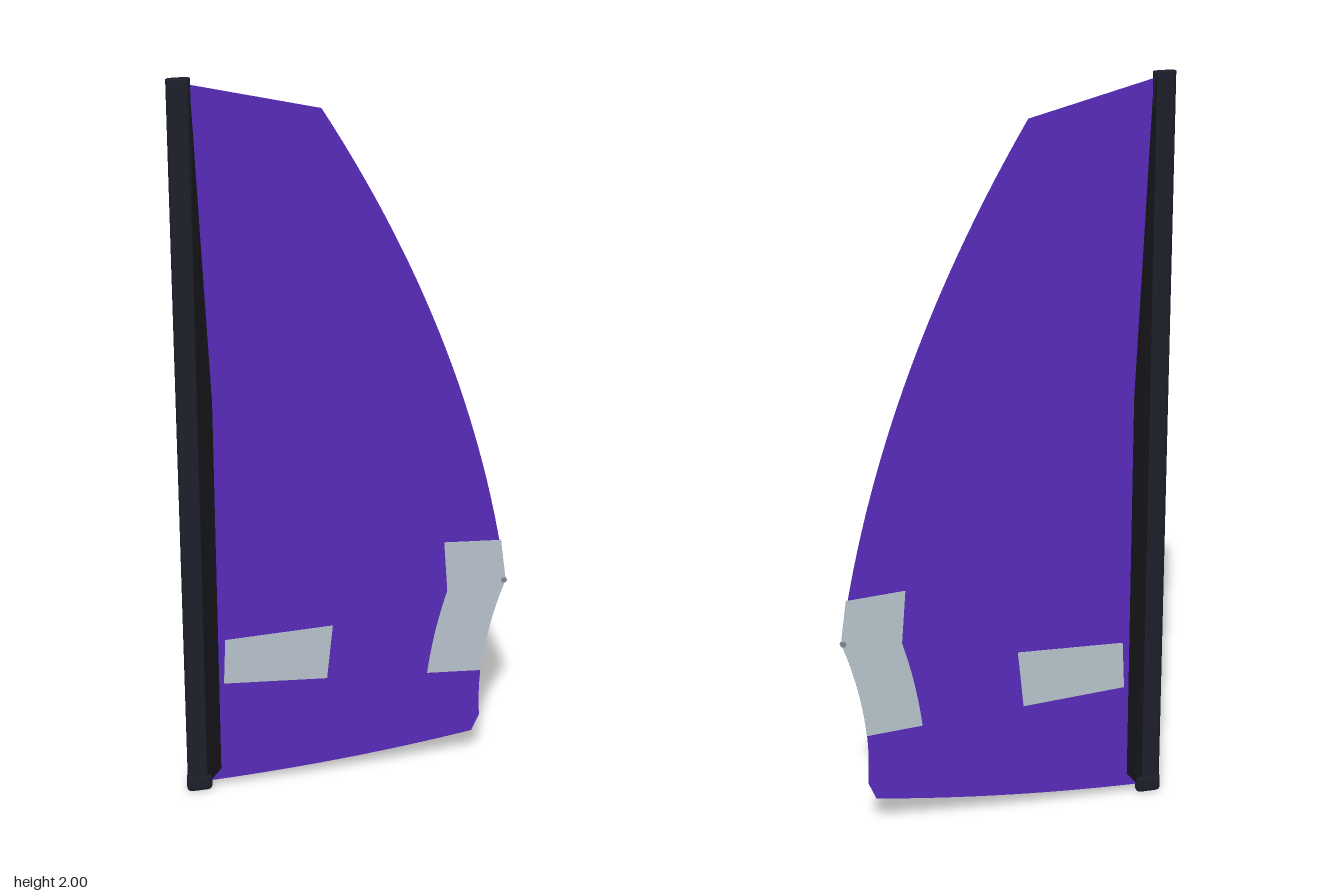
import * as THREE from 'three';
import { RoundedBoxGeometry } from 'three/addons/geometries/RoundedBoxGeometry.js';

const paint = (name, color) => {
  const m = new THREE.MeshStandardMaterial({ color });
  m.name = name;
  return m;
};

// Thin plate in the sail plane, centred on z = 0
function plate(shape, thickness) {
  const g = new THREE.ExtrudeGeometry(shape, { depth: thickness, bevelEnabled: false, curveSegments: 28 });
  return g.translate(0, 0, -thickness / 2);
}

// Sleeve: rows of [y, trailing edge x], each a closed wedge section narrowing to the cloth
function sleeveGeometry(rows) {
  const pos = [], idx = [];
  for (const [y, tail] of rows) {
    const mid = Math.min(-0.371, tail - 0.003);
    const section = [[-0.405, 0.012], [-0.386, 0.011], [mid, 0.0055], [tail, 0.002],
      [tail, -0.002], [mid, -0.0055], [-0.386, -0.011], [-0.405, -0.012]];
    for (const [x, z] of section) pos.push(x, y, z);
  }
  const n = 8;
  for (let r = 0; r < rows.length - 1; r++) {
    for (let i = 0; i < n; i++) {
      const a = r * n + i, b = r * n + (i + 1) % n;
      idx.push(a, b, b + n, a, b + n, a + n);
    }
  }
  const top = (rows.length - 1) * n;
  for (let i = 1; i < n - 1; i++) idx.push(0, i + 1, i, top, top + i, top + i + 1);
  const g = new THREE.BufferGeometry();
  g.setAttribute('position', new THREE.Float32BufferAttribute(pos, 3));
  g.setIndex(idx);
  const flat = g.toNonIndexed();
  flat.computeVertexNormals();
  return flat;
}

export function createModel() {
  const model = new THREE.Group();
  model.name = 'sail rig';
  const purple = paint('purple cloth', 0x562bba);
  const grey = paint('pale window film', 0xb7c2cb);
  const black = paint('mast black', 0x1c1f2a);
  const dark = paint('sleeve black', 0x131318);
  dark.side = THREE.DoubleSide;
  const steel = paint('grommet grey', 0x80878f);
  const add = (name, geometry, material) => {
    const mesh = new THREE.Mesh(geometry, material);
    mesh.name = name;
    model.add(mesh);
    return mesh;
  };

  // Sail cloth with curved trailing edge and foot
  const sail = new THREE.Shape();
  sail.moveTo(-0.4, 1.988);
  sail.lineTo(-0.4, 0.025);
  sail.quadraticCurveTo(-0.02, 0.03, 0.35, 0.082);
  sail.lineTo(0.371, 0.13);
  sail.quadraticCurveTo(0.366, 0.21, 0.372, 0.275);
  sail.quadraticCurveTo(0.385, 0.41, 0.435, 0.545);
  sail.quadraticCurveTo(0.33, 1.25, -0.063, 1.902);
  add('sail cloth', plate(sail, 0.002), purple);

  // Window beside the mast
  const inner = new THREE.Shape();
  inner.moveTo(-0.335, 0.325);
  inner.lineTo(-0.055, 0.304);
  inner.lineTo(-0.039, 0.464);
  inner.lineTo(-0.329, 0.457);
  add('inner window', plate(inner, 0.005), grey);

  // Window along the trailing edge
  const outer = new THREE.Shape();
  outer.moveTo(0.222, 0.283);
  outer.lineTo(0.372, 0.272);
  outer.quadraticCurveTo(0.385, 0.41, 0.435, 0.545);
  outer.lineTo(0.419, 0.667);
  outer.lineTo(0.263, 0.678);
  outer.lineTo(0.274, 0.53);
  outer.quadraticCurveTo(0.237, 0.41, 0.222, 0.283);
  add('outer window', plate(outer, 0.005), grey);

  // Grommet at the outer corner
  const ring = new THREE.CylinderGeometry(0.008, 0.008, 0.008, 12).rotateX(Math.PI / 2);
  add('corner grommet', ring, steel).position.set(0.43, 0.545, 0);

  // Mast: flattened round column
  const r = 0.0125, x0 = -0.44 + r, x1 = -0.381 - r;
  const column = new THREE.Shape();
  column.absarc(x1, 0, r, -Math.PI / 2, Math.PI / 2);
  column.absarc(x0, 0, r, Math.PI / 2, Math.PI * 1.5);
  const mast = new THREE.ExtrudeGeometry(column, { depth: 1.98, bevelEnabled: false, curveSegments: 8 });
  add('mast', mast.rotateX(-Math.PI / 2).translate(0, 0.02, 0), black);

  // Sleeve behind the mast, tapering toward the head
  add('mast sleeve', sleeveGeometry([[0.025, -0.378], [0.06, -0.348], [1.15, -0.348],
    [1.6, -0.367], [1.99, -0.383]]), dark);

  // Mast foot
  add('mast foot', new RoundedBoxGeometry(0.068, 0.052, 0.029, 4, 0.012), black).position.set(-0.408, 0.027, 0);
  return model;
}
